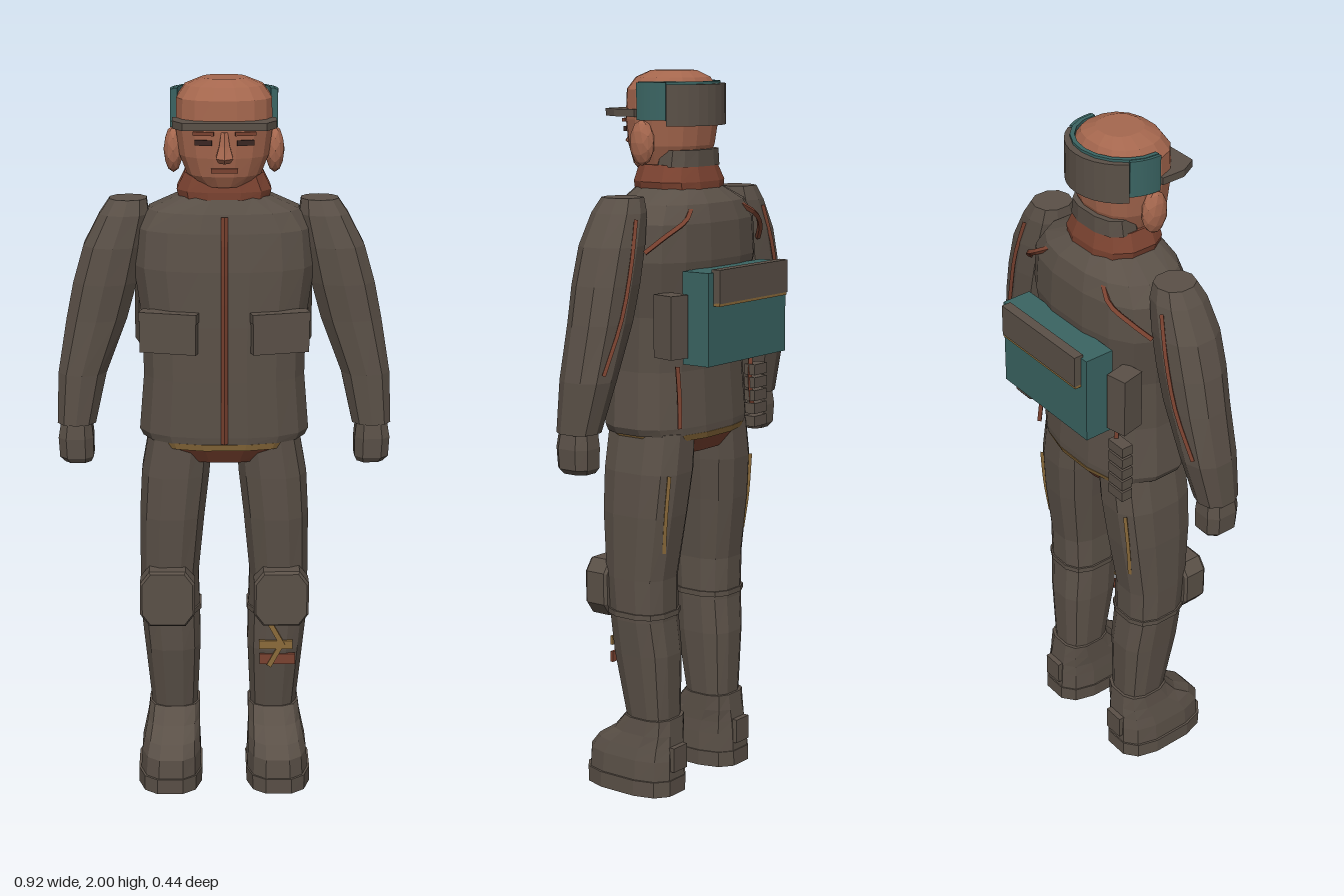
import * as THREE from 'three';

const mat = (name, color) => {
  const m = new THREE.MeshStandardMaterial({ color });
  m.name = name;
  return m;
};

export function createModel() {
  const model = new THREE.Group();
  const cloth = mat('brown grey cloth', 0x5a5047);
  const skin = mat('skin', 0xa5674e);
  const rust = mat('rust', 0x7a4230);
  const teal = mat('teal', 0x3a6462);
  const gold = mat('ochre', 0x8a6a3a);
  const dark = mat('dark line', 0x3a2622);

  // faceted shading: split every face
  const add = (name, geo, material, parent = model) => {
    const g = geo.index ? geo.toNonIndexed() : geo;
    g.computeVertexNormals();
    const mesh = new THREE.Mesh(g, material);
    mesh.name = name;
    parent.add(mesh);
    return mesh;
  };

  // closed loft through rounded rings [y, x0, x1, zFront, zBack], rising in y
  const loft = (rings, n = 12, e = 0.8, s = 1) => {
    const pos = [], idx = [];
    const pw = v => Math.sign(v) * Math.pow(Math.abs(v), e);
    for (const [y, x0, x1, zf, zb] of rings) {
      for (let j = 0; j < n; j++) {
        const a = ((j + 0.5) / n) * Math.PI * 2;
        pos.push(s * (x0 + x1) / 2 + (x1 - x0) / 2 * pw(Math.cos(a)), y,
          (zf + zb) / 2 + (zf - zb) / 2 * pw(Math.sin(a)));
      }
    }
    const last = rings.length - 1, c = rings.length * n;
    for (const r of [rings[0], rings[last]]) pos.push(s * (r[1] + r[2]) / 2, r[0], (r[3] + r[4]) / 2);
    for (let j = 0; j < n; j++) {
      const k = (j + 1) % n;
      for (let i = 0; i < last; i++) {
        const a = i * n + j, b = i * n + k;
        idx.push(a, a + n, b, b, a + n, b + n);
      }
      idx.push(c, j, k, c + 1, last * n + k, last * n + j);
    }
    const g = new THREE.BufferGeometry();
    g.setAttribute('position', new THREE.Float32BufferAttribute(pos, 3));
    g.setIndex(idx);
    return g;
  };
  // centred on x: [y, halfWidth, zFront, zBack]
  const mid = (rings, n, e) => loft(rings.map(([y, w, f, b]) => [y, -w, w, f, b]), n, e);

  const box = (name, w, h, d, x, y, z, m, ry = 0, rz = 0) => {
    const b = add(name, new THREE.BoxGeometry(w, h, d), m);
    b.position.set(x, y, z);
    b.rotation.set(0, ry, rz);
    return b;
  };
  const cord = (name, pts, r, m) => add(name, new THREE.TubeGeometry(
    new THREE.CatmullRomCurve3(pts.map(p => new THREE.Vector3(...p))), 8, r, 4), m);

  // elliptical band around the head, angle 0 = +x, PI/2 = back
  const band = (name, rx, rz, t, y0, y1, a0, a1, m) => {
    const sh = new THREE.Shape(), N = 10;
    for (let k = 0; k <= 2 * N + 1; k++) {
      const outer = k <= N, u = outer ? k / N : (2 * N + 1 - k) / N;
      const a = a0 + (a1 - a0) * u, d = outer ? 0 : t;
      const x = (rx - d) * Math.cos(a), y = (rz - d) * Math.sin(a) - 0.055;
      k ? sh.lineTo(x, y) : sh.moveTo(x, y);
    }
    const g = new THREE.ExtrudeGeometry(sh, { depth: y1 - y0, bevelEnabled: false });
    g.rotateX(-Math.PI / 2).translate(0, y0, 0);
    return add(name, g, m);
  };

  // Torso
  add('pelvis', mid([[0.965, 0.15, 0.15, -0.07], [1.01, 0.2, 0.18, -0.1]], 16), rust);
  add('belt', mid([[1.008, 0.208, 0.186, -0.105], [1.026, 0.218, 0.19, -0.112]], 16), gold);
  add('jacket', mid([[1.025, 0.225, 0.188, -0.11], [1.045, 0.235, 0.19, -0.11], [1.2, 0.222, 0.19, -0.1],
    [1.35, 0.225, 0.188, -0.11], [1.5, 0.248, 0.182, -0.13], [1.6, 0.24, 0.168, -0.125],
    [1.65, 0.205, 0.155, -0.11], [1.69, 0.12, 0.135, -0.07]], 16), cloth);
  add('collar', mid([[1.685, 0.125, 0.138, -0.075], [1.705, 0.13, 0.138, -0.075], [1.75, 0.108, 0.13, -0.06]], 12), rust);
  add('neckGuard', mid([[1.745, 0.105, 0.07, -0.062], [1.79, 0.1, 0.06, -0.06]], 12), cloth);
  cord('zipper', [[0, 1.03, 0.191], [0, 1.2, 0.193], [0, 1.42, 0.19], [0, 1.55, 0.179], [0, 1.645, 0.159]], 0.009, rust);

  // Head
  add('head', mid([[1.72, 0.065, 0.14, 0], [1.75, 0.1, 0.156, -0.03], [1.8, 0.12, 0.166, -0.05],
    [1.87, 0.13, 0.172, -0.06], [1.95, 0.128, 0.168, -0.058], [1.982, 0.105, 0.145, -0.04], [2, 0.06, 0.11, -0.01]], 16, 0.85), skin);
  add('nose', mid([[1.79, 0.018, 0.19, 0.14], [1.805, 0.026, 0.22, 0.14], [1.835, 0.016, 0.198, 0.14], [1.87, 0.01, 0.178, 0.14]], 6, 1), skin);
  box('mouth', 0.07, 0.012, 0.008, 0, 1.768, 0.16, rust);
  add('brim', new THREE.ExtrudeGeometry(new THREE.Shape([[-0.137, -0.08], [-0.137, -0.15], [-0.11, -0.2],
    [0.11, -0.2], [0.137, -0.15], [0.137, -0.08]].map(p => new THREE.Vector2(...p))), { depth: 0.02, bevelEnabled: false })
    .rotateX(-Math.PI / 2).translate(0, 1.878, 0), cloth);
  const P = Math.PI;
  band('headbandBack', 0.146, 0.146, 0.02, 1.855, 1.965, 0.17 * P, 0.83 * P, cloth);
  band('headbandLining', 0.136, 0.128, 0.012, 1.875, 1.972, -0.03 * P, 1.03 * P, teal);

  for (const s of [-1, 1]) {
    const side = s > 0 ? 'left' : 'right';
    const nm = p => side + p;
    // Face sides
    band(nm('HeadbandEnd'), 0.143, 0.14, 0.018, 1.87, 1.97, s > 0 ? -0.03 * P : 0.83 * P, s > 0 ? 0.17 * P : 1.03 * P, teal);
    const ear = add(nm('Ear'), new THREE.IcosahedronGeometry(1, 1), skin);
    ear.scale.set(0.026, 0.062, 0.038);
    ear.position.set(s * 0.135, 1.81, 0.055);
    box(nm('Eye'), 0.045, 0.014, 0.008, s * 0.055, 1.842, 0.164, dark, s * 0.2);
    box(nm('Brow'), 0.055, 0.01, 0.009, s * 0.055, 1.866, 0.166, rust, s * 0.2);

    // Arm and hand
    add(nm('Arm'), loft([[1.06, 0.35, 0.46, 0.12, 0], [1.2, 0.318, 0.456, 0.118, -0.035], [1.35, 0.26, 0.432, 0.115, -0.05],
      [1.45, 0.232, 0.412, 0.118, -0.055], [1.55, 0.212, 0.383, 0.115, -0.055], [1.635, 0.2, 0.338, 0.1, -0.045],
      [1.675, 0.206, 0.31, 0.08, -0.032]].map(([y, a, b, f, k]) => [y, a, b, f, k]), 10, 0.9, s), cloth);
    add(nm('Hand'), loft([[0.95, 0.365, 0.44, 0.105, 0.02], [0.965, 0.357, 0.455, 0.115, 0.008],
      [1.02, 0.357, 0.458, 0.118, 0.005], [1.065, 0.362, 0.45, 0.112, 0.01]], 8, 0.7, s), cloth);
    cord(nm('ArmPiping'), [[s * 0.29, 1.62, -0.045], [s * 0.325, 1.5, -0.056], [s * 0.36, 1.36, -0.05], [s * 0.41, 1.22, -0.03]], 0.007, rust);
    cord(nm('ShoulderPiping'), [[s * 0.11, 1.64, -0.09], [s * 0.16, 1.61, -0.11], [s * 0.22, 1.57, -0.085], [s * 0.26, 1.53, -0.05]], 0.008, rust);
    cord(nm('BackPiping'), [[s * 0.17, 1.05, -0.098], [s * 0.165, 1.13, -0.093], [s * 0.17, 1.22, -0.09]], 0.008, rust);

    // Pockets and side pouches
    box(nm('ChestPocket'), 0.155, 0.11, 0.04, s * 0.147, 1.337, 0.172, cloth, s * 0.25);
    box(nm('ChestPocketFlap'), 0.16, 0.025, 0.046, s * 0.147, 1.38, 0.172, cloth, s * 0.25);
    box(nm('BackPouch'), 0.06, 0.17, 0.07, s * 0.212, 1.335, -0.1, cloth, s * -0.2);

    // Leg and boot
    add(nm('Leg'), loft([[0.19, 0.075, 0.205, 0.085, -0.055], [0.4, 0.065, 0.225, 0.125, -0.06], [0.5, 0.066, 0.235, 0.13, -0.05],
      [0.62, 0.07, 0.236, 0.145, -0.052], [0.8, 0.052, 0.236, 0.16, -0.078], [0.92, 0.038, 0.23, 0.162, -0.09],
      [1.03, 0.03, 0.21, 0.16, -0.09]], 12, 0.75, s), cloth);
    add(nm('Boot'), loft([[0.04, 0.064, 0.24, 0.215, -0.077], [0.1, 0.066, 0.236, 0.212, -0.075],
      [0.135, 0.068, 0.228, 0.185, -0.072], [0.17, 0.068, 0.22, 0.13, -0.068], [0.215, 0.068, 0.214, 0.092, -0.063]], 12, 0.7, s), cloth);
    add(nm('Sole'), loft([[0, 0.062, 0.246, 0.218, -0.08], [0.045, 0.06, 0.246, 0.22, -0.08]], 12, 0.7, s), cloth);
    box(nm('HeelBuckle'), 0.06, 0.07, 0.025, s * 0.15, 0.105, -0.072, cloth);
    add(nm('KneeStrap'), loft([[0.51, 0.062, 0.24, 0.136, -0.055], [0.525, 0.062, 0.24, 0.138, -0.055]], 12, 0.75, s), cloth);
    cord(nm('LegPiping'), [[s * 0.185, 0.7, -0.054], [s * 0.192, 0.8, -0.066], [s * 0.19, 0.92, -0.077]], 0.007, gold);

    // Knee pad: octagonal plate
    const pad = new THREE.Shape([[-0.05, -0.08], [0.05, -0.08], [0.076, -0.045], [0.076, 0.045], [0.05, 0.08],
      [-0.05, 0.08], [-0.076, 0.045], [-0.076, -0.045]].map(p => new THREE.Vector2(...p)));
    add(nm('KneePad'), new THREE.ExtrudeGeometry(pad, { depth: 0.06, bevelEnabled: true, bevelSize: 0.006, bevelThickness: 0.008, bevelSegments: 1, bevelOffset: -0.006 }), cloth)
      .position.set(s * 0.158, 0.578, 0.12);
  }

  // Shin patch on the left leg
  box('shinPatch', 0.1, 0.03, 0.009, 0.15, 0.375, 0.121, rust);
  box('shinMark', 0.095, 0.025, 0.009, 0.145, 0.42, 0.127, gold);
  box('shinMarkUpper', 0.014, 0.08, 0.009, 0.145, 0.455, 0.13, gold, 0, 0.5);
  box('shinMarkLower', 0.014, 0.08, 0.009, 0.145, 0.39, 0.126, gold, 0, -0.5);

  // Ribbed pouch behind the right hip
  for (let i = 0; i < 5; i++) box('ribbedPouch', 0.06, 0.03, 0.035, -0.19, 1.02 + i * 0.037, -0.095, cloth);

  // Backpack
  box('backpack', 0.36, 0.25, 0.085, 0, 1.355, -0.158, teal);
  box('backpackFlap', 0.315, 0.09, 0.028, 0, 1.443, -0.208, cloth);
  box('backpackTrim', 0.315, 0.009, 0.024, 0, 1.395, -0.208, gold);

  return model;
}
